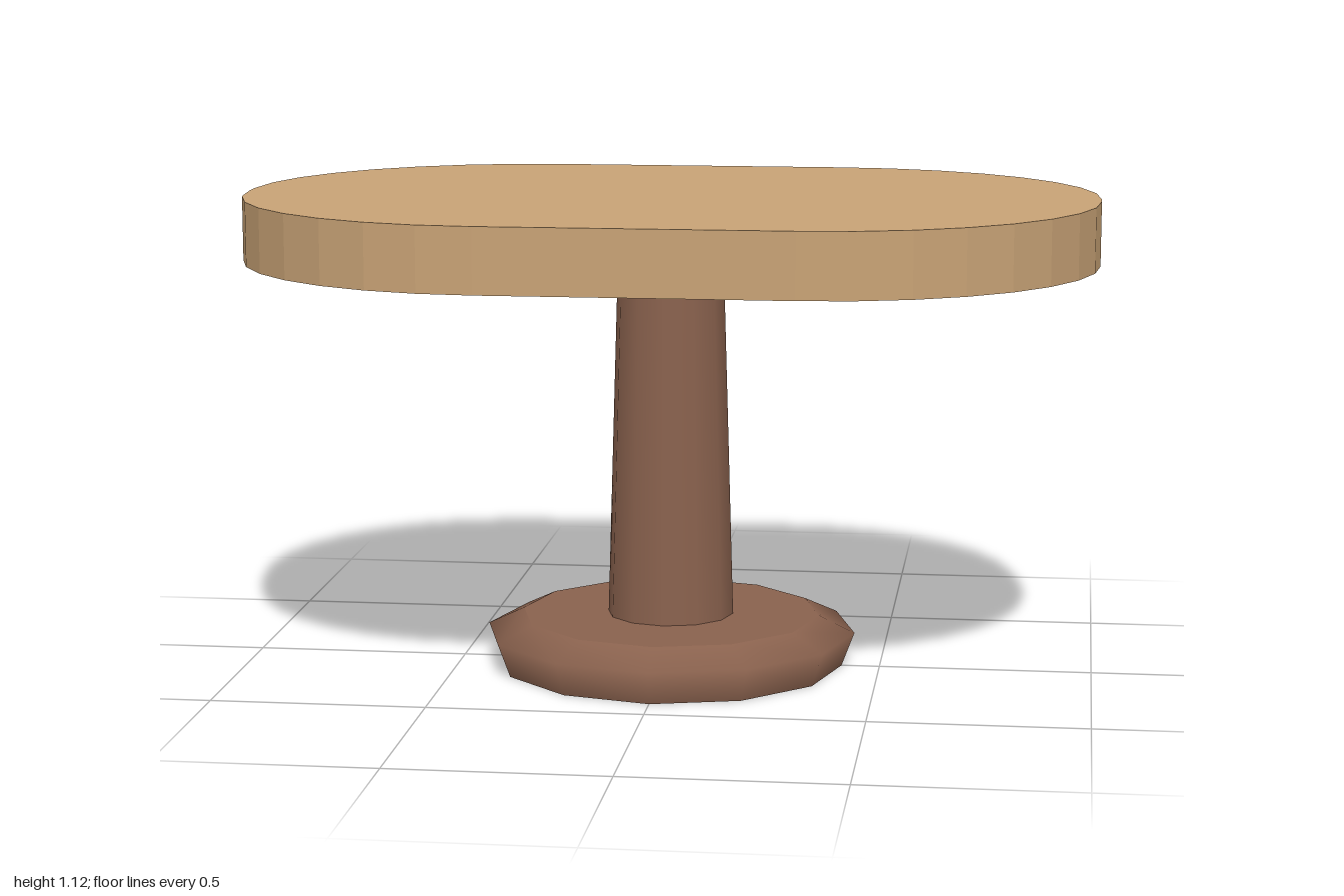
import * as THREE from 'three';

export function createModel() {
  const group = new THREE.Group();
  const lightWood = new THREE.MeshStandardMaterial({ color: 0xc9a376 });
  lightWood.name = 'lightWood';
  const darkWood = new THREE.MeshStandardMaterial({ color: 0x8a624e });
  darkWood.name = 'darkWood';
  const SIDES = 12;

  const add = (name, geometry, material, y = 0, parent = group) => {
    const mesh = new THREE.Mesh(geometry, material);
    mesh.name = name;
    mesh.position.y = y;
    parent.add(mesh);
    return mesh;
  };

  // Tabletop: a slab with large faceted corners
  const cx = 0.35, cz = 0.025, r = 0.65;
  const outline = new THREE.Shape();
  [[1, 1], [-1, 1], [-1, -1], [1, -1]].forEach(([sx, sz], i) => {
    const start = (i * Math.PI) / 2;
    outline.absarc(sx * cx, sz * cz, r, start, start + Math.PI / 2, false);
  });
  const slab = new THREE.ExtrudeGeometry(outline, { depth: 0.15, bevelEnabled: false, curveSegments: 4 });
  slab.rotateX(-Math.PI / 2);
  add('tabletop', slab, lightWood, 0.97);

  // Tapered column
  add('column', new THREE.CylinderGeometry(0.125, 0.15, 0.86, SIDES), darkWood, 0.545);

  // Foot: a rounded rim closed by flat discs
  const foot = new THREE.Group();
  foot.name = 'foot';
  group.add(foot);
  const profile = [[0.41, 0], [0.44, 0.08], [0.355, 0.12]].map(([x, y]) => new THREE.Vector2(x, y));
  add('footRim', new THREE.LatheGeometry(profile, SIDES), darkWood, 0, foot);
  add('footTop', new THREE.CircleGeometry(0.355, SIDES).rotateX(-Math.PI / 2), darkWood, 0.12, foot);
  add('footUnderside', new THREE.CircleGeometry(0.41, SIDES).rotateX(Math.PI / 2), darkWood, 0, foot);

  return group;
}
